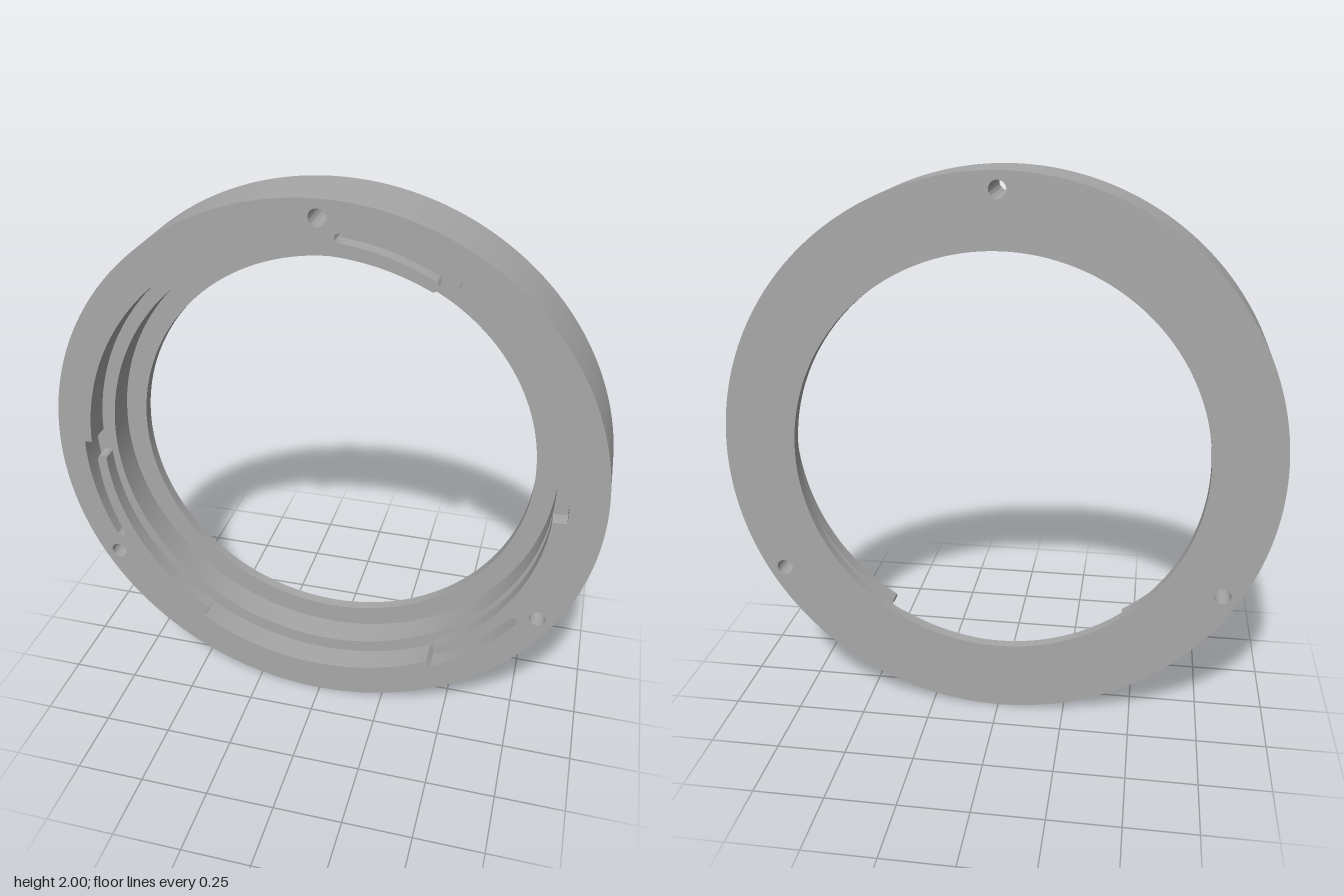
import * as THREE from 'three';
import { toCreasedNormals } from 'three/addons/utils/BufferGeometryUtils.js';

const polar = (deg, r) => {
  const a = THREE.MathUtils.degToRad(deg);
  return new THREE.Vector2(r * Math.cos(a), r * Math.sin(a));
};

// points along an arc whose radius may drift from r0 to r1
function arc(from, to, r0, r1 = r0) {
  const n = Math.max(1, Math.round(Math.abs(to - from) / 1.5));
  return Array.from({ length: n + 1 }, (_, i) =>
    polar(from + ((to - from) * i) / n, r0 + ((r1 - r0) * i) / n));
}

const BORE = 0.742, SEAT = 0.822, NOTCH = 0.872, SLOT = 0.9;
const GAP = 0.025; // half height of the side pin opening
const gapAngle = r => THREE.MathUtils.radToDeg(Math.asin(GAP / r));

// front opening: three wide notches, three lugs, three curved spring slots
function lugContour(start) {
  const pts = [];
  for (let k = 0; k < 3; k++) {
    const b = 120 * k;
    pts.push(
      ...arc(k ? b : start, b + 59, NOTCH),
      ...arc(b + 59.2, b + 85.5, SLOT),
      polar(b + 86.3, 0.893), polar(b + 86.5, 0.884), polar(b + 86.3, 0.875),
      ...arc(b + 85.5, b + 63.5, 0.868, 0.858),
      polar(b + 62.7, 0.85), polar(b + 62.7, 0.83),
      ...arc(b + 63.2, b + 116.5, SEAT),
      ...arc(b + 117, b + 117.8, NOTCH));
  }
  return pts.concat(lugTail());
}
const lugTail = () => []; // the last notch closes on the first one

// groove behind the lugs, widened behind each spring slot
function grooveContour(start, end) {
  const pts = [];
  for (let k = 0; k < 3; k++) {
    const b = 120 * k;
    pts.push(
      ...arc(k ? b : start, b + 59, NOTCH),
      ...arc(b + 59.2, b + 86.3, SLOT),
      ...arc(b + 86.5, k < 2 ? b + 118.5 : end, NOTCH));
  }
  return pts;
}

// one slice of the ring between two depths
function slice(name, material, z0, z1, inner, gapped) {
  let shape;
  if (gapped) {
    const g = gapAngle(1);
    shape = new THREE.Shape([...arc(g, 360 - g, 1), ...inner.reverse()]);
  } else {
    shape = new THREE.Shape(arc(0, 358.5, 1));
    shape.holes.push(new THREE.Path(inner));
  }
  // screw holes
  for (const deg of [90, 210, 330]) {
    const c = polar(deg, 0.94);
    shape.holes.push(new THREE.Path().absarc(c.x, c.y, 0.03, 0, Math.PI * 2, true));
  }
  const geo = new THREE.ExtrudeGeometry(shape, { depth: z1 - z0, bevelEnabled: false, curveSegments: 24 });
  const mesh = new THREE.Mesh(toCreasedNormals(geo, 0.5), material);
  mesh.name = name;
  mesh.position.z = z0;
  return mesh;
}

export function createModel() {
  const metal = new THREE.MeshStandardMaterial({ color: 0xa8a8a8 });
  metal.name = 'grey metal';

  const ring = new THREE.Group();
  ring.name = 'mountRing';
  const g = gapAngle(NOTCH);
  ring.add(
    slice('backPlate', metal, -0.125, -0.085, arc(0, 358.5, BORE)),
    slice('seatWall', metal, -0.085, 0.025, arc(0, 358.5, SEAT)),
    slice('lugGroove', metal, 0.025, 0.07, grooveContour(g, 360 - g), true),
    slice('lugRing', metal, 0.07, 0.115, lugContour(g), true),
    slice('frontLip', metal, 0.115, 0.125, lugContour(0)));
  ring.position.y = 1;

  const model = new THREE.Group();
  model.name = 'lensMountAdapter';
  model.add(ring);
  return model;
}
